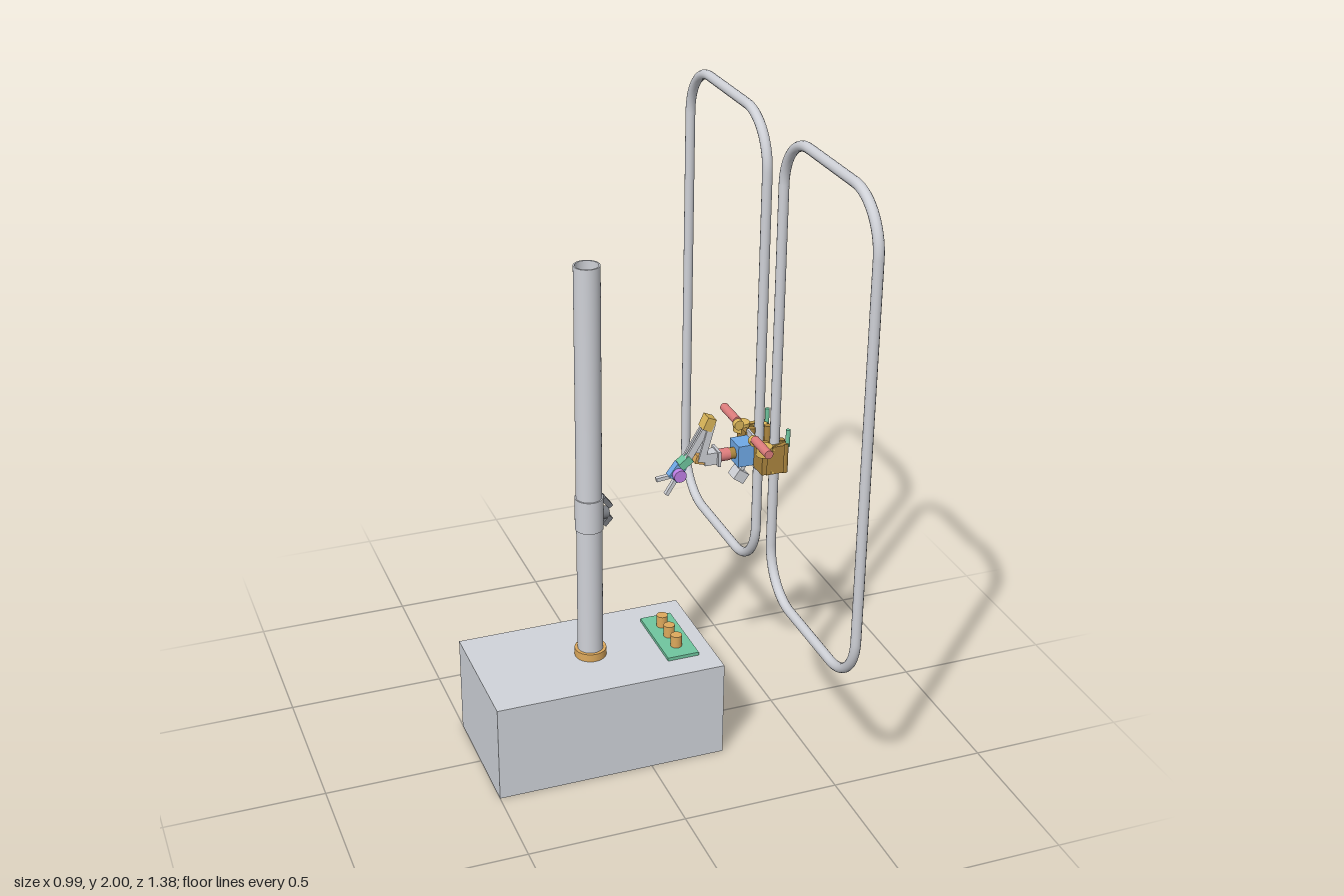
import * as THREE from 'three';

const paint = (name, color) => {
  const m = new THREE.MeshStandardMaterial({ color });
  m.name = name;
  return m;
};

export function createModel() {
  const steel = paint('steel', 0xcfd1d7), casing = paint('casing grey', 0xd0d4da);
  const dark = paint('dark grey', 0x75787d), tan = paint('tan', 0xdda95c);
  const green = paint('green', 0x70c69f), red = paint('red', 0xdd7c7c);
  const blue = paint('blue', 0x70aae8), purple = paint('purple', 0xbf7fe6);
  const brass = paint('brass', 0xac863f), gold = paint('gold', 0xdcb75a);
  const model = new THREE.Group();

  const add = (name, geometry, material, parent = model) => {
    const mesh = new THREE.Mesh(geometry, material);
    mesh.name = name;
    parent.add(mesh);
    return mesh;
  };
  // Box given by its limits on each axis
  const box = (name, mat, [x0, x1], [y0, y1], [z0, z1], parent) => {
    const m = add(name, new THREE.BoxGeometry(x1 - x0, y1 - y0, z1 - z0), mat, parent);
    m.position.set((x0 + x1) / 2, (y0 + y1) / 2, (z0 + z1) / 2);
    return m;
  };
  // Round or square bar between two points
  const span = (mesh, a, b) => {
    const p = new THREE.Vector3(...a), q = new THREE.Vector3(...b);
    mesh.position.copy(p).add(q).multiplyScalar(0.5);
    mesh.quaternion.setFromUnitVectors(new THREE.Vector3(0, 1, 0), q.sub(p).normalize());
    return mesh;
  };
  const dist = (a, b) => new THREE.Vector3(...a).distanceTo(new THREE.Vector3(...b));
  const rod = (name, mat, a, b, r, parent) =>
    span(add(name, new THREE.CylinderGeometry(r, r, dist(a, b), 24), mat, parent), a, b);
  const bar = (name, mat, a, b, w, d, parent) =>
    span(add(name, new THREE.BoxGeometry(w, dist(a, b), d), mat, parent), a, b);
  // Hollow upright sleeve, with doubled corner points for sharp rims
  const sleeve = (name, mat, x, y0, y1, outer, inner) => {
    const pts = [[inner, y0], [outer, y0], [outer, y0], [outer, y1], [outer, y1],
      [inner, y1], [inner, y1], [inner, y0]].map(p => new THREE.Vector2(...p));
    add(name, new THREE.LatheGeometry(pts, 40), mat).position.x = x;
  };

  // Base and hollow mast
  box('base', casing, [-0.5, 0.24], [0, 0.322], [-0.21, 0.21]);
  sleeve('mast', steel, -0.13, 0.322, 1.635, 0.04, 0.035);
  sleeve('mastFlange', tan, -0.13, 0.322, 0.348, 0.05, 0.04);
  sleeve('mastCollar', steel, -0.13, 0.775, 0.882, 0.044, 0.039);

  // Clamp fittings on the collar
  rod('collarBoss', dark, [-0.092, 0.82, 0], [-0.07, 0.82, 0], 0.02);
  bar('collarHook', dark, [-0.088, 0.875, 0], [-0.064, 0.843, 0], 0.016, 0.03);
  bar('collarCatch', dark, [-0.088, 0.785, 0], [-0.065, 0.81, 0], 0.016, 0.036);

  // Control plate with three posts
  box('controlPlate', green, [0.084, 0.187], [0.322, 0.333], [-0.126, 0.126]);
  for (const z of [-0.063, 0, 0.063]) rod('controlPost', tan, [0.135, 0.333, z], [0.135, 0.372, z], 0.018);

  // Rounded ring path, lying in a plane of constant x
  const ringPath = s => {
    const path = new THREE.CurvePath(), r = 0.16, z0 = 0.06, z1 = 0.674, y0 = 0.48, y1 = 1.985;
    const v = (z, y) => new THREE.Vector3(0.452, y, s * z);
    const corners = [[z0, y0, 0, 1, 1, 0], [z1, y0, -1, 0, 0, 1], [z1, y1, 0, -1, -1, 0], [z0, y1, 1, 0, 0, -1]];
    const k = 0.4477;
    corners.forEach(([z, y, az, ay, bz, by], i) => {
      const n = corners[(i + 1) % 4];
      const end = v(z + bz * r, y + by * r);
      path.add(new THREE.CubicBezierCurve3(v(z + az * r, y + ay * r), v(z + az * r * k, y + ay * r * k),
        v(z + bz * r * k, y + by * r * k), end));
      path.add(new THREE.LineCurve3(end, v(n[0] + n[2] * r, n[1] + n[3] * r)));
    });
    return path;
  };

  // Mirrored rings, each with its gripper and motor
  for (const s of [1, -1]) {
    const side = new THREE.Group();
    side.name = s > 0 ? 'leftRingUnit' : 'rightRingUnit';
    model.add(side);
    const Z = (a, b) => s > 0 ? [a, b] : [-b, -a];
    add('ring', new THREE.TubeGeometry(ringPath(s), 240, 0.0155, 14, true), steel, side);
    box('gripBackPlate', brass, [0.395, 0.412], [0.91, 0.995], Z(0.035, 0.1), side);
    box('gripInnerJaw', brass, [0.412, 0.47], [0.905, 0.998], Z(0.078, 0.095), side);
    for (const [x, z] of [[0.424, 0.052], [0.478, 0.052], [0.478, 0.08]])
      rod('gripRoller', brass, [x, 0.9, s * z], [x, 0.998, s * z], 0.011, side);
    for (const y of [0.912, 0.99])
      bar('gripLink', gold, [0.425, y, s * 0.09], [0.482, y, s * 0.066], 0.014, 0.016, side);
    rod('gripPin', green, [0.487, 0.985, s * 0.08], [0.487, 1.042, s * 0.08], 0.007, side);
    rod('gripMotor', gold, [0.405, 0.975, s * 0.09], [0.405, 1.005, s * 0.09], 0.026, side);
    rod('handle', red, [0.382, 1.02, s * 0.07], [0.382, 1.02, s * 0.177], 0.014, side);
    rod('handleCollar', gold, [0.382, 1.012, s * 0.052], [0.382, 1.012, s * 0.07], 0.016, side);
  }

  // Hub between the rings
  box('hub', blue, [0.344, 0.4], [0.915, 0.985], [-0.035, 0.035]);
  box('hubPlate', steel, [0.4, 0.408], [0.9, 1.005], [-0.038, 0.038]);
  bar('sensor', steel, [0.345, 0.885, 0], [0.377, 0.862, 0], 0.035, 0.045);
  bar('sensorBracket', steel, [0.355, 0.88, 0], [0.38, 0.915, 0], 0.012, 0.03);

  // Wrist shaft running in from the hub
  rod('hubSpindle', brass, [0.322, 0.95, 0], [0.346, 0.95, 0], 0.018);
  rod('shaft', red, [0.288, 0.95, 0], [0.325, 0.95, 0], 0.02);
  box('shaftFlange', steel, [0.28, 0.289], [0.925, 0.975], [-0.03, 0.03]);
  box('shoulder', steel, [0.24, 0.281], [0.93, 0.97], [-0.019, 0.019]);
  bar('shoulderJoint', tan, [0.212, 0.955, 0], [0.245, 0.945, 0], 0.026, 0.03);

  // Folded arm
  for (const s of [1, -1]) {
    bar('upperArm', steel, [0.228, 0.945, s * 0.015], [0.262, 1.07, s * 0.015], 0.022, 0.008);
    bar('forearm', steel, [0.255, 1.07, s * 0.009], [0.185, 0.955, s * 0.009], 0.022, 0.008);
  }
  bar('elbow', gold, [0.245, 1.05, 0], [0.262, 1.088, 0], 0.03, 0.04);
  bar('wrist', green, [0.196, 0.962, 0], [0.162, 0.936, 0], 0.026, 0.034);
  bar('wristBlock', blue, [0.168, 0.94, 0], [0.138, 0.9, 0], 0.036, 0.026);
  rod('wristMotor', purple, [0.155, 0.915, 0], [0.155, 0.915, 0.032], 0.02);
  bar('palm', blue, [0.136, 0.918, 0], [0.157, 0.892, 0], 0.018, 0.03);

  // Two gripping fingers
  bar('upperFinger', steel, [0.145, 0.908, 0], [0.087, 0.902, 0], 0.012, 0.014);
  bar('lowerFinger', steel, [0.152, 0.895, 0], [0.12, 0.845, 0], 0.012, 0.014);

  return model;
}
